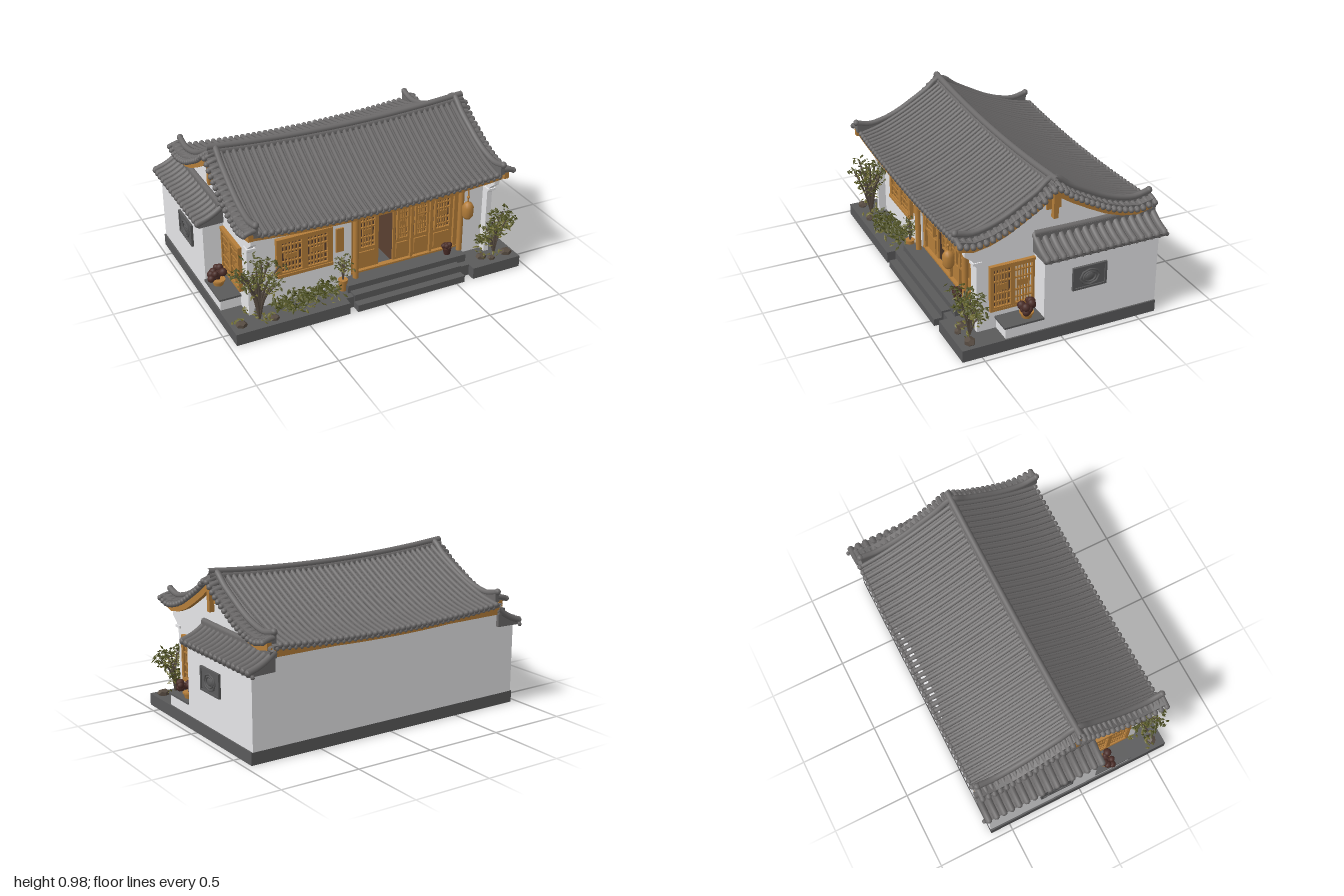
import * as THREE from 'three';
import { mergeGeometries } from 'three/addons/utils/BufferGeometryUtils.js';

const mat = (name, color) => Object.assign(new THREE.MeshStandardMaterial({ color }), { name });
const V = (x, y, z) => new THREE.Vector3(x, y, z);

export function createModel() {
  const tile = mat('roof tile grey', 0x6d6b6b), stone = mat('stone grey', 0x5a5a5b);
  const plaster = mat('white plaster', 0xe8e8ea), wood = mat('warm wood', 0xb57e3a);
  const dark = mat('dark brown wood', 0x5a4030), tan = mat('olive tan interior', 0x8c7d54);
  const leaf = mat('dark leaf green', 0x4a4d1f), olive = mat('olive leaf', 0x6c6930);
  const bonsai = mat('dark red foliage', 0x4a2c27), bark = mat('grey bark', 0x574c42);
  const model = new THREE.Group();
  model.name = 'courtyardHouse';

  let seed = 7;
  const rnd = (a = 0, b = 1) => {
    seed = (seed * 16807) % 2147483647;
    return a + (b - a) * seed / 2147483647;
  };
  const add = (name, geos, material, parent = model) => {
    const list = [].concat(geos).map(g => (g.index ? g.toNonIndexed() : g));
    const m = new THREE.Mesh(list.length > 1 ? mergeGeometries(list) : list[0], material);
    m.name = name;
    parent.add(m);
    return m;
  };
  // Box given by its limits on each axis
  const box = (x0, x1, y0, y1, z0, z1) => new THREE.BoxGeometry(Math.abs(x1 - x0), y1 - y0, z1 - z0)
    .translate((x0 + x1) / 2, (y0 + y1) / 2, (z0 + z1) / 2);
  const ball = (p, r, w = 8, h = 6) => new THREE.SphereGeometry(r, w, h).translate(p.x, p.y, p.z);
  const tube = (pts, r, n = 12, k = 6) =>
    new THREE.TubeGeometry(new THREE.CatmullRomCurve3(pts), n, r, k);
  const cyl = (x, y0, y1, z, r0, r1 = r0, k = 12) =>
    new THREE.CylinderGeometry(r1, r0, y1 - y0, k).translate(x, (y0 + y1) / 2, z);
  // Solid with a [z, y] outline, stretched along x
  const across = (pts, x, width, steps = 1) => new THREE.ExtrudeGeometry(
    new THREE.Shape(pts.map(p => new THREE.Vector2(p[0], p[1]))),
    { depth: width, steps, bevelEnabled: false }).translate(0, 0, -width / 2).rotateY(-Math.PI / 2).translate(x, 0, 0);

  // Base, planters and steps
  add('basePlinth', [box(-0.96, 0.96, 0, 0.075, -0.63, 0.565), box(-0.96, -0.235, 0, 0.075, 0.565, 0.62),
    box(0.62, 0.96, 0, 0.075, 0.565, 0.62)], stone);
  add('frontSteps', [box(-0.185, 0.555, 0, 0.045, 0.5, 0.625), box(-0.185, 0.555, 0.045, 0.088, 0.4, 0.575),
    box(-0.2, 0.62, 0.075, 0.125, 0.1, 0.52)], stone);

  // Plaster walls
  add('backWall', [box(-0.82, 0.82, 0.075, 0.64, -0.63, -0.6)], plaster);
  add('frontWall', [box(-0.79, -0.13, 0.075, 0.63, 0.39, 0.42), box(0.63, 0.79, 0.075, 0.63, 0.39, 0.42)], plaster);

  // Roof curves: main slope and the raised gable edge
  const front = 0.57, back = 0.655;
  const roofY = t => 0.63 + 0.27 * Math.pow(1 - Math.abs(t), 1.4);
  const roofZ = t => t * (t > 0 ? front : back);
  const sag = x => 0.036 * (x / 0.8) ** 2;
  const hip = [[0, 0.955], [0.1, 0.885], [0.2, 0.825], [0.3, 0.77], [0.4, 0.732], [0.5, 0.715], [0.59, 0.735]];
  const hipLine = (dy, n = 7) => [...hip.slice(1, n).reverse().map(([z, y]) => [z, y + dy]),
    ...hip.slice(0, n).map(([z, y]) => [-z * 1.075, y + dy])];
  const band = (a, b, n) => [...hipLine(a, n), ...hipLine(b, n).reverse()];

  // Roof slabs, bent so the ridge sags in the middle
  const ts = Array.from({ length: 25 }, (_, i) => 1 - i / 12);
  const slab = (a, b) => {
    const g = across([...ts.map(t => [roofZ(t), roofY(t) + a]),
      ...[...ts].reverse().map(t => [roofZ(t), roofY(t) + b])], 0, 1.64, 16);
    const p = g.attributes.position;
    for (let i = 0; i < p.count; i++) p.setY(i, p.getY(i) + sag(p.getX(i)));
    return g;
  };
  add('roofSlab', slab(0, -0.02), tile);
  add('roofSoffit', slab(-0.02, -0.036), wood);

  // Tile ribs with round eave ends
  const ribs = [], ends = [];
  for (let i = 0; i < 40; i++) {
    const x = -0.78 + i * 0.04;
    for (const s of [1, -1]) {
      const pts = [0, 0.2, 0.4, 0.6, 0.8, 1].map(t => V(x, roofY(t) + sag(x) + 0.005, roofZ(s * t)));
      ribs.push(tube(pts, 0.0135 + rnd(0, 0.002), 14, 7));
      ends.push(ball(pts[5], 0.018));
      ends.push(ball(V(x + 0.02, pts[5].y - 0.02, pts[5].z - s * 0.004), 0.014, 6, 5));
    }
  }
  add('roofTileRibs', ribs, tile);
  add('eaveTileEnds', ends, tile);
  add('mainRidge', [-0.02, 0.008].map((dy, i) => tube([-0.86, -0.6, -0.3, 0, 0.3, 0.6, 0.86]
    .map(x => V(x, 0.915 + dy + sag(x), 0)), i ? 0.02 : 0.028, 24, 10)), tile);

  // Front beam, small rafters and columns
  add('eaveBeam', [box(-0.82, 0.82, 0.585, 0.618, 0.45, 0.5), box(-0.82, 0.82, 0.6, 0.63, -0.645, -0.625)], wood);
  add('rafterEnds', Array.from({ length: 40 }, (_, i) => {
    const x = -0.78 + i * 0.04;
    return box(x - 0.008, x + 0.008, 0.6 + sag(x) * 0.6, 0.618 + sag(x) * 0.6, 0.45, 0.55);
  }), wood);
  add('porchColumns', [cyl(-0.115, 0.125, 0.59, 0.45, 0.018), cyl(0.612, 0.125, 0.59, 0.45, 0.018)], wood);

  // Framed lattice, centred on its own origin and facing +z
  const lattice = (name, w, h, nx, backing) => {
    const g = new THREE.Group(), f = 0.014, x = w / 2, y = h / 2, bars = [];
    g.name = name;
    bars.push(box(-x, x, y - f, y, 0, 0.02), box(-x, x, -y, f - y, 0, 0.02));
    bars.push(box(-x, f - x, -y, y, 0, 0.02), box(x - f, x, -y, y, 0, 0.02));
    for (let i = 1; i < nx; i++) {
      const c = -x + f + (w - 2 * f) * i / nx;
      bars.push(box(c - 0.004, c + 0.004, -y + f, y - f, 0.003, 0.013));
    }
    for (const k of [-0.66, -0.3, 0.3, 0.66]) bars.push(box(-x + f, x - f, y * k - 0.004, y * k + 0.004, 0.003, 0.015));
    bars.push(box(-x * 0.45, x * 0.45, -y * 0.14, y * 0.14, 0.003, 0.012));
    add('latticeBars', bars, wood, g);
    if (backing) add('latticeBacking', box(-x, x, -y, y, -0.002, 0.003), backing, g);
    model.add(g);
    return g;
  };

  // Front window and wall plaque
  for (const x of [-0.528, -0.362]) lattice('frontWindowShutter', 0.155, 0.225, 6, dark).position.set(x, 0.387, 0.425);
  add('frontWindowFrame', [box(-0.625, -0.265, 0.495, 0.515, 0.42, 0.447), box(-0.625, -0.265, 0.258, 0.278, 0.42, 0.452),
    box(-0.625, -0.605, 0.26, 0.51, 0.42, 0.445), box(-0.285, -0.265, 0.26, 0.51, 0.42, 0.445),
    box(-0.453, -0.437, 0.26, 0.51, 0.42, 0.445)], wood);
  add('wallPlaque', box(-0.235, -0.185, 0.32, 0.48, 0.42, 0.43), wood);

  // Doors with lattice above and a solid panel below
  const doorZ = 0.38;
  for (const [x, w] of [[-0.015, 0.17], [0.23, 0.12], [0.36, 0.13], [0.51, 0.165]]) {
    add('doorLeaf', [box(x - w / 2, x + w / 2, 0.125, 0.52, doorZ, doorZ + 0.012),
      box(x - w * 0.33, x + w * 0.33, 0.155, 0.255, doorZ + 0.012, doorZ + 0.02)], wood);
    lattice('doorLattice', w * 0.72, 0.225, 5, dark).position.set(x, 0.395, doorZ + 0.015);
  }
  add('doorFrame', [box(-0.13, 0.63, 0.51, 0.63, doorZ - 0.01, doorZ + 0.014), box(0.285, 0.3, 0.125, 0.52, doorZ, doorZ + 0.03),
    box(0.42, 0.434, 0.125, 0.52, doorZ, doorZ + 0.03), box(-0.13, -0.1, 0.125, 0.52, doorZ, doorZ + 0.03),
    box(0.59, 0.63, 0.125, 0.52, doorZ, doorZ + 0.03), box(-0.13, 0.63, 0.125, 0.137, doorZ, doorZ + 0.035)], wood);
  for (let i = 0; i < 4; i++) lattice('transomLattice', 0.17, 0.055, 9, dark).position.set(-0.03 + i * 0.186, 0.55, 0.43);
  add('doorwayInterior', [box(0.06, 0.07, 0.125, 0.52, 0.05, doorZ), box(0.17, 0.18, 0.125, 0.52, 0.05, doorZ)], dark);
  add('doorwayBack', box(0.07, 0.17, 0.125, 0.52, 0.05, 0.06), tan);

  // Gables, side windows, wings and ledges on both sides
  for (const s of [1, -1]) {
    add('gableWall', across([[0.47, 0.075], [0.47, 0.5], [0.49, 0.545], [0.54, 0.585], [0.54, 0.612],
      ...hipLine(-0.07, 6), [-0.63, 0.64], [-0.63, 0.075]], s * 0.803, 0.035), plaster);
    add('gableRidge', [across(band(0, -0.06), s * 0.807, 0.03),
      tube(hipLine(0.005).map(([z, y]) => V(s * 0.807, y, z)), 0.019, 40, 8),
      ...[hip[6][0], -hip[6][0] * 1.075].map(z => ball(V(s * 0.807, 0.742, z), 0.021))], tile);
    add('gableTileBed', across(band(-0.02, -0.05, 7), s * 0.845, 0.05), tile);
    add('bargeBoard', across(band(-0.05, -0.092, 7), s * 0.837, 0.03), wood);
    add('gablePendant', [box(s * 0.83, s * 0.862, 0.725, 0.885, -0.015, 0.015),
      box(s * 0.82, s * 0.835, 0.775, 0.86, -0.045, 0.045)], wood);
    const hipCurve = new THREE.CatmullRomCurve3(hipLine(-0.035).map(([z, y]) => V(0, y, z)));
    add('gableTiles', hipCurve.getSpacedPoints(34).flatMap(p => [
      tube([V(s * 0.81, p.y + 0.012, p.z), V(s * 0.845, p.y + 0.006, p.z), V(s * 0.882, p.y - 0.008, p.z)], 0.016, 3, 7),
      ball(V(s * 0.88, p.y - 0.008, p.z), 0.018)]), tile);

    // Side window: closed front shutter, open lattice behind it
    for (const [z, b] of [[0.32, dark], [0.185, null]]) {
      const g = lattice('sideWindowShutter', 0.135, 0.27, 6, b);
      g.position.set(s * 0.823, 0.347, z);
      g.rotation.y = s * Math.PI / 2;
    }
    add('sideWindowFrame', [box(s * 0.82, s * 0.845, 0.48, 0.495, 0.112, 0.395), box(s * 0.82, s * 0.845, 0.2, 0.215, 0.112, 0.395),
      box(s * 0.82, s * 0.845, 0.2, 0.49, 0.38, 0.395)], wood);

    // Wing with its sloping tiled coping
    add('sideWing', box(s * 0.8, s * 0.95, 0.075, 0.545, -0.63, 0.11), plaster);
    const slope = [[0.81, 0.63], [0.87, 0.587], [0.93, 0.557], [0.985, 0.54]];
    add('wingRoofBed', new THREE.ExtrudeGeometry(new THREE.Shape([...slope, [0.975, 0.515], [0.81, 0.52]]
      .map(p => new THREE.Vector2(s * p[0], p[1]))), { depth: 0.77, bevelEnabled: false }).translate(0, 0, -0.65), tile);
    add('wingTiles', Array.from({ length: 16 }, (_, i) => {
      const z = 0.11 - i * 0.0505;
      return [tube(slope.map(([x, y]) => V(s * x, y + 0.004, z)), 0.02, 8, 7), ball(V(s * 0.978, 0.542, z), 0.021),
        ball(V(s * 0.968, 0.522, z - 0.025), 0.014, 6, 5)];
    }).flat(), tile);
    add('wingRidge', [box(s * 0.805, s * 0.85, 0.6, 0.64, -0.66, 0.115),
      tube([V(s * 0.83, 0.64, 0.12), V(s * 0.83, 0.636, -0.3), V(s * 0.83, 0.65, -0.665)], 0.02, 8, 8)], tile);

    // Carved relief on the wing
    const ring = (r, t, k) => new THREE.TorusGeometry(r, t, 6, k).rotateY(Math.PI / 2).scale(1, 0.8, 1).translate(s * 0.962, 0.36, -0.175);
    add('carvedRelief', [box(s * 0.945, s * 0.958, 0.288, 0.435, -0.285, -0.065), box(s * 0.95, s * 0.965, 0.288, 0.3, -0.285, -0.065),
      box(s * 0.95, s * 0.965, 0.423, 0.435, -0.285, -0.065), box(s * 0.95, s * 0.965, 0.288, 0.435, -0.285, -0.272),
      box(s * 0.95, s * 0.965, 0.288, 0.435, -0.078, -0.065), ring(0.062, 0.007, 8), ring(0.04, 0.006, 20),
      ball(V(0, 0, 0), 0.03, 12, 8).scale(0.3, 0.8, 1).translate(s * 0.958, 0.36, -0.175)], stone);

    // Ledge with a potted bonsai
    add('ledgeWall', box(s * 0.82, s * 0.95, 0.075, 0.143, 0.11, 0.35), plaster);
    add('ledgeCap', box(s * 0.82, s * 0.958, 0.143, 0.155, 0.11, 0.36), stone);
    add('bonsaiPot', [cyl(s * 0.9, 0.155, 0.185, 0.195, 0.03, 0.038), cyl(s * 0.9, 0.183, 0.192, 0.195, 0.043)], wood);
    add('bonsaiFoliage', [cyl(s * 0.9, 0.19, 0.225, 0.195, 0.01), ...Array.from({ length: 12 }, () =>
      new THREE.IcosahedronGeometry(rnd(0.018, 0.027), 1).translate(s * 0.912 + rnd(-0.045, 0.045), rnd(0.218, 0.252), 0.19 + rnd(-0.04, 0.04)))], bonsai);
    add('pierCap', box(s * 0.775, s * 0.828, 0.52, 0.535, 0.44, 0.495), plaster);
  }

  // Hanging lantern
  add('lantern', [new THREE.LatheGeometry([[0.001, 0.4], [0.02, 0.405], [0.034, 0.425], [0.036, 0.485], [0.022, 0.51], [0.001, 0.518]]
    .map(p => new THREE.Vector2(...p)), 14).translate(0.6, 0, 0.545), cyl(0.6, 0.51, 0.63, 0.545, 0.004, 0.004, 6),
    ball(V(0.6, 0.55, 0.545), 0.01)], wood);

  // Leaves scattered around a point
  const leaves = (c, r, n, size) => Array.from({ length: n }, () => new THREE.OctahedronGeometry(1)
    .scale(size, size * 0.2, size * 0.45).rotateZ(rnd(-0.9, 0.9)).rotateY(rnd(0, 6.28))
    .translate(c.x + rnd(-r, r), c.y + rnd(-r, r) * 0.6, c.z + rnd(-r, r)));
  // Branching plant: curved stems from a root with leaves near the tips
  const plant = (name, root, n, spread, h0, h1, r, perTip, size) => {
    const stems = [], a = [], b = [];
    for (let i = 0; i < n; i++) {
      const ang = i * 2.4, d = spread * Math.sqrt((i + 0.5) / n);
      const tip = V(root.x + Math.cos(ang) * d, root.y + rnd(h0, h1), root.z + Math.sin(ang) * d * 0.6);
      const mid = root.clone().lerp(tip, 0.55).add(V(-Math.cos(ang) * d * 0.2, 0.03, 0));
      stems.push(tube([root, mid, tip], r, 6, 5));
      a.push(...leaves(tip, 0.04, perTip, size));
      b.push(...leaves(mid.lerp(tip, 0.5), 0.035, Math.ceil(perTip / 2), size));
    }
    add(name + 'Stems', stems, bark);
    add(name + 'Leaves', a, leaf);
    add(name + 'LightLeaves', b, olive);
  };
  plant('gardenTree', V(-0.78, 0.075, 0.53), 16, 0.16, 0.22, 0.39, 0.006, 12, 0.018);
  plant('cornerShrub', V(0.83, 0.075, 0.52), 16, 0.13, 0.1, 0.29, 0.004, 12, 0.02);
  plant('doorsidePlant', V(-0.21, 0.12, 0.47), 6, 0.04, 0.1, 0.17, 0.004, 8, 0.014);

  // Low bushes and ground cover in the planters
  const bush = [], cover = [];
  for (let i = 0; i < 16; i++) {
    const c = V(-0.65 + i * 0.025, 0.11 + rnd(0, 0.05), rnd(0.48, 0.56));
    bush.push(...leaves(c, 0.045, 16, 0.022));
    cover.push(...leaves(c.setY(0.095), 0.05, 5, 0.02));
  }
  for (let i = 0; i < 8; i++) cover.push(...leaves(V(i < 5 ? rnd(-0.93, -0.7) : rnd(0.7, 0.93), 0.09, rnd(0.42, 0.58)), 0.03, 8, 0.018));
  add('plantedBush', bush, leaf);
  add('groundCover', cover, olive);
  add('gardenRocks', [[0.73, 0.53, 0.03], [0.9, 0.55, 0.035], [-0.9, 0.55, 0.03], [-0.7, 0.57, 0.025], [0.78, 0.57, 0.022]]
    .map(([x, z, r]) => new THREE.DodecahedronGeometry(r).scale(1.2, 0.8, 1).translate(x, 0.085, z)), bark);

  // Pots beside the door
  add('doorsidePot', cyl(-0.21, 0.075, 0.15, 0.47, 0.022, 0.03), wood);
  add('smallPot', [cyl(0.52, 0.125, 0.165, 0.46, 0.02, 0.028), ...Array.from({ length: 6 }, () =>
    new THREE.IcosahedronGeometry(0.017, 1).translate(0.52 + rnd(-0.02, 0.02), rnd(0.172, 0.195), 0.46 + rnd(-0.02, 0.02)))], bonsai);
  return model;
}
